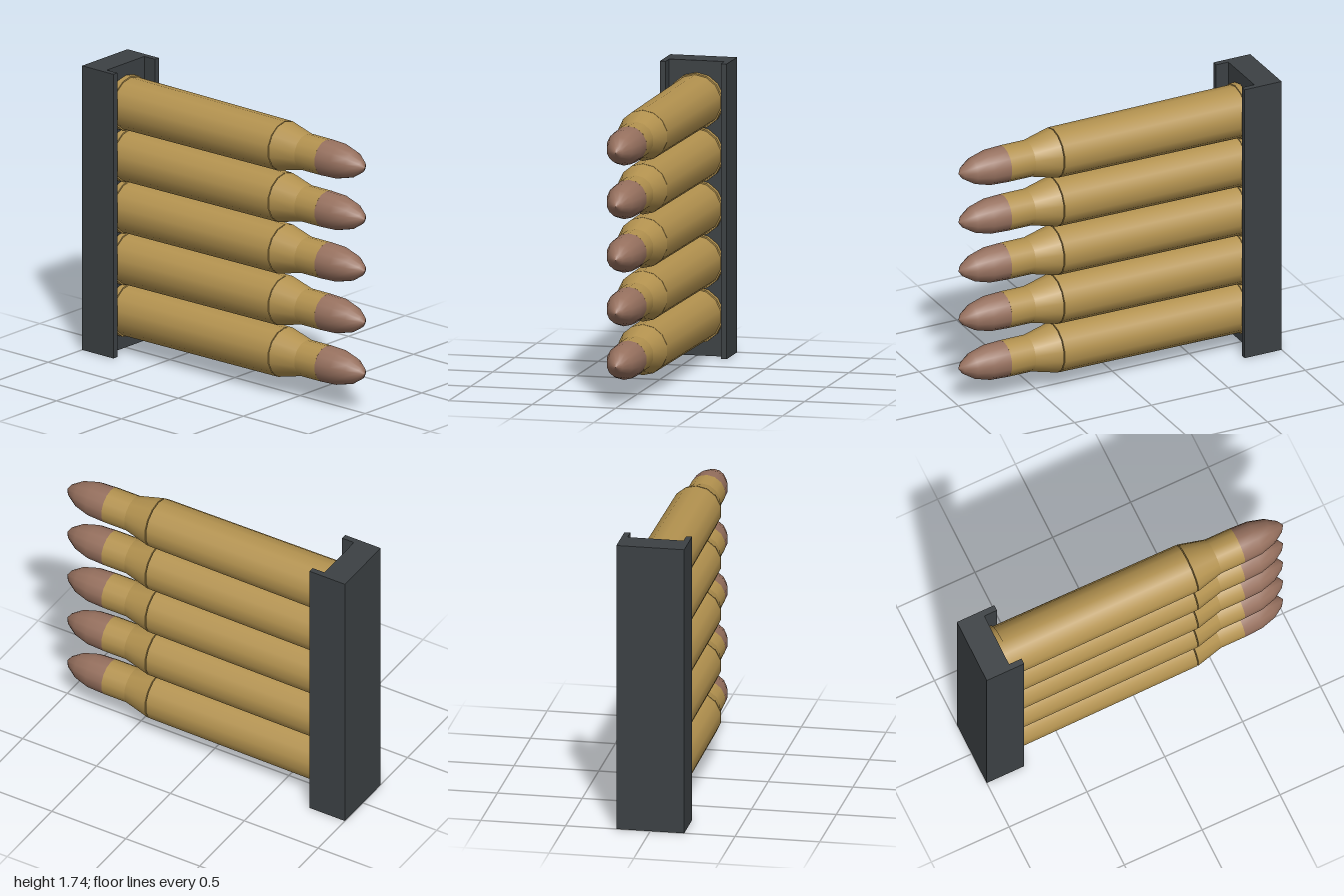
import * as THREE from 'three';

const SIDES = 14;
const steel = new THREE.MeshStandardMaterial({ color: 0x3c4144 });
const brass = new THREE.MeshStandardMaterial({ color: 0xb3924f });
const copper = new THREE.MeshStandardMaterial({ color: 0x96705e });

// Lay a geometry turned about y along +x, with a corner pointing up
const alongX = (geometry) => geometry.rotateY(Math.PI / 2).rotateZ(-Math.PI / 2);

function add(parent, name, geometry, material, x = 0, y = 0, z = 0) {
  const mesh = new THREE.Mesh(geometry, material);
  mesh.name = name;
  mesh.position.set(x, y, z);
  parent.add(mesh);
  return mesh;
}

// Tapered round section between two x positions
function section(parent, name, x0, x1, r0, r1) {
  const geometry = alongX(new THREE.CylinderGeometry(r1, r0, x1 - x0, SIDES));
  return add(parent, name, geometry, brass, (x0 + x1) / 2);
}

function createCartridge() {
  const cartridge = new THREE.Group();
  section(cartridge, 'rim', -0.835, -0.8, 0.165, 0.165);
  section(cartridge, 'caseBody', -0.8, 0.381, 0.157, 0.149);
  section(cartridge, 'caseShoulder', 0.387, 0.55, 0.149, 0.109);
  section(cartridge, 'caseNeck', 0.55, 0.705, 0.109, 0.109);

  // Rounded bullet tip
  const profile = [[0.109, 0.7], [0.104, 0.815], [0.078, 0.91], [0.036, 0.975], [0, 1]]
    .map(([r, x]) => new THREE.Vector2(r, x));
  add(cartridge, 'bullet', alongX(new THREE.LatheGeometry(profile, SIDES)), copper);
  return cartridge;
}

export function createModel() {
  const model = new THREE.Group();
  model.name = 'cartridgeClip';

  // Channel-shaped clip
  const height = 1.735;
  const clip = new THREE.Group();
  clip.name = 'clip';
  add(clip, 'clipBack', new THREE.BoxGeometry(0.16, height, 0.4), steel, -0.92, height / 2);
  for (const side of [-1, 1]) {
    add(clip, side > 0 ? 'clipFrontWall' : 'clipRearWall',
      new THREE.BoxGeometry(0.08, height, 0.035), steel, -0.8, height / 2, side * 0.1825);
  }
  model.add(clip);

  // Five stacked cartridges
  for (let i = 0; i < 5; i++) {
    const cartridge = createCartridge();
    cartridge.name = `cartridge${i + 1}`;
    cartridge.position.y = 0.24 + i * 0.315;
    model.add(cartridge);
  }
  return model;
}
